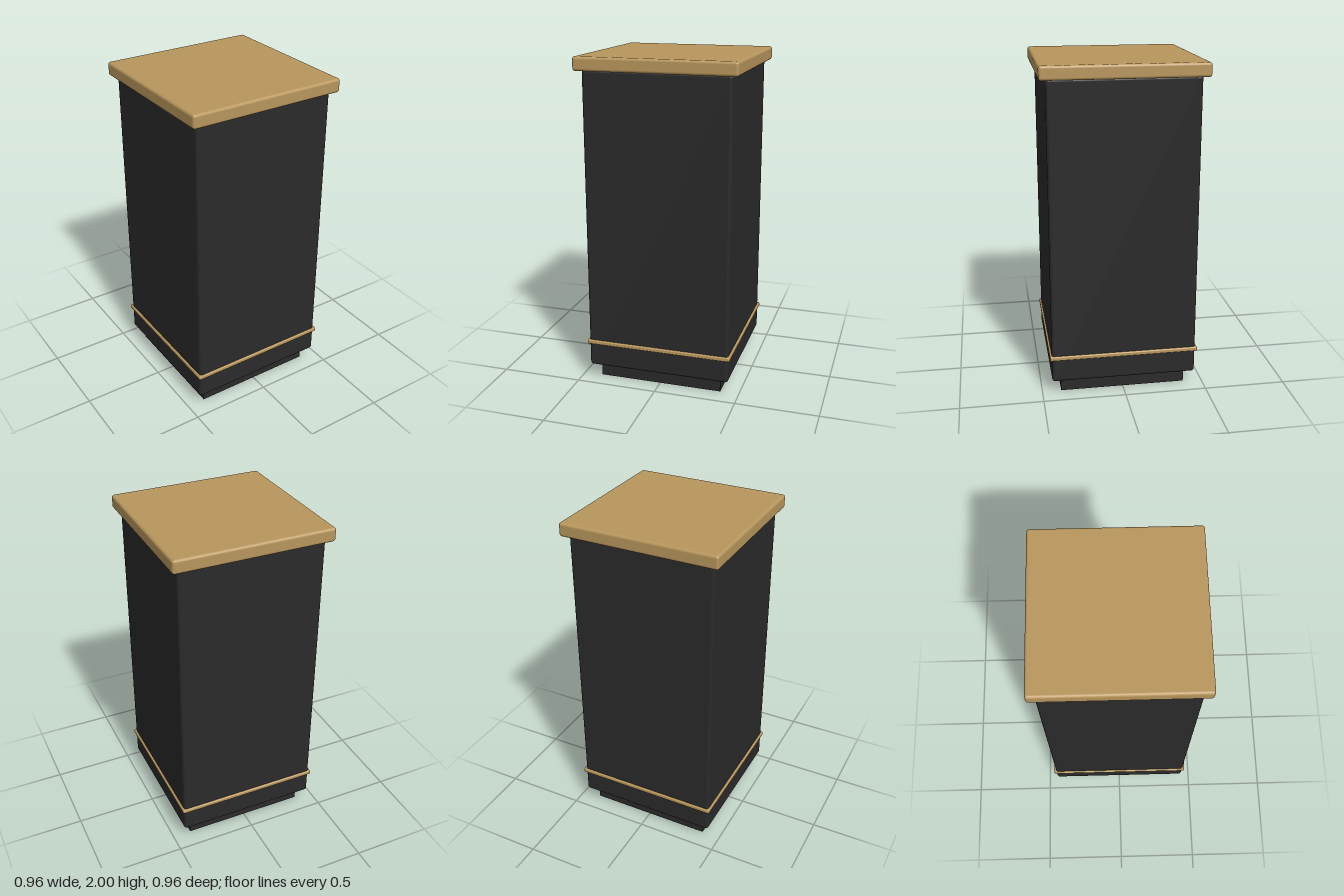
import * as THREE from 'three';
import { RoundedBoxGeometry } from 'three/addons/geometries/RoundedBoxGeometry.js';

export function createModel() {
  const model = new THREE.Group();
  model.name = 'pedestal';

  const black = new THREE.MeshStandardMaterial({ color: 0x2a2a2a });
  black.name = 'matte black';
  const gold = new THREE.MeshStandardMaterial({ color: 0xb8965c });
  gold.name = 'brushed gold';

  // Square block spanning the heights y0 to y1, with optionally rounded edges
  function block(name, width, y0, y1, radius, material) {
    const height = y1 - y0;
    const geometry = radius > 0
      ? new RoundedBoxGeometry(width, height, width, 4, radius)
      : new THREE.BoxGeometry(width, height, width);
    const mesh = new THREE.Mesh(geometry, material);
    mesh.name = name;
    mesh.position.y = (y0 + y1) / 2;
    model.add(mesh);
  }

  block('plinth', 0.768, 0, 0.095, 0, black); // recessed foot
  block('body', 0.882, 0.091, 1.925, 0.018, black);
  block('trimBand', 0.904, 0.235, 0.262, 0.008, gold); // thin band near the base
  block('topSlab', 0.96, 1.918, 2, 0.016, gold); // overhanging top

  return model;
}
